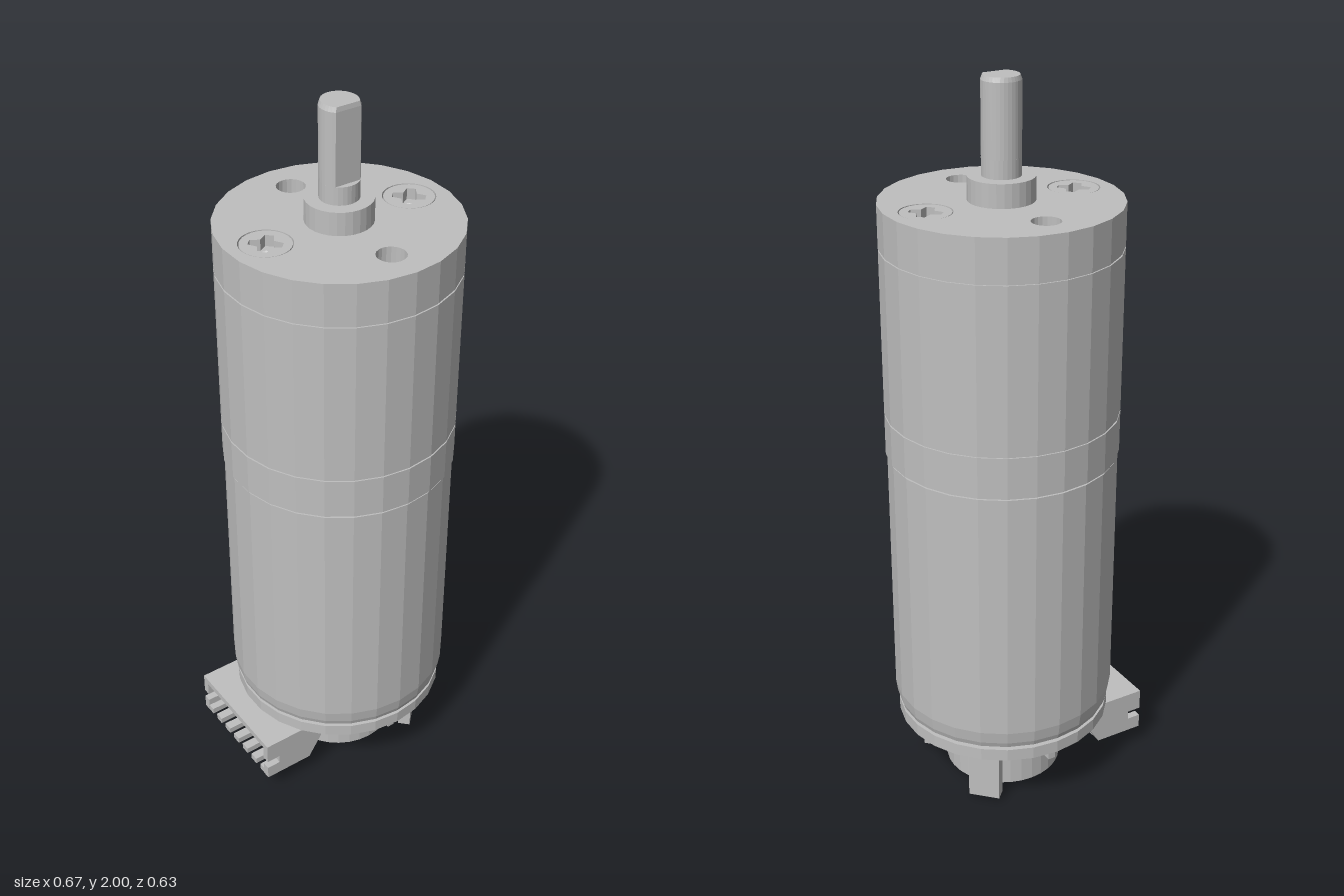
import * as THREE from 'three';

const SIDES = 26;
const CX = 0.025; // motor axis

export function createModel() {
  const model = new THREE.Group();
  model.name = 'gearMotor';
  const metal = new THREE.MeshStandardMaterial({ color: 0xbfbfbf });
  metal.name = 'greyMetal';

  // Flat-shaded mesh
  function add(name, geometry, x = CX, y = 0, z = 0, parent = model) {
    const g = geometry.index ? geometry.toNonIndexed() : geometry;
    g.computeVertexNormals();
    const mesh = new THREE.Mesh(g, metal);
    mesh.name = name;
    mesh.position.set(x, y, z);
    parent.add(mesh);
    return mesh;
  }
  const lathe = (pts, n = SIDES) =>
    new THREE.LatheGeometry(pts.map(([r, y]) => new THREE.Vector2(r, y)), n);
  const rod = (r, y0, y1, n = 24) => lathe([[0, y0], [r, y0], [r, y1], [0, y1]], n);
  const box = (w, h, d) => new THREE.BoxGeometry(w, h, d);

  // Points of a circle in the ground plane, starting on the z axis
  const ring = (r, n, x = 0, y = 0) => Array.from({ length: n }, (_, i) => {
    const a = Math.PI / 2 + (i / n) * Math.PI * 2;
    return new THREE.Vector2(x + r * Math.cos(a), y + r * Math.sin(a));
  });
  // Upright prism from an outline with holes
  function prism(outline, holes, depth) {
    const shape = new THREE.Shape(outline);
    shape.holes = holes.map((h) => new THREE.Path(h));
    return new THREE.ExtrudeGeometry(shape, { depth, bevelEnabled: false }).rotateX(-Math.PI / 2);
  }

  // Motor can with rounded lower rim
  add('motorCan', lathe([[0, 0.24], [0.299, 0.24], [0.304, 0.255], [0.309, 0.29],
    [0.309, 1.003], [0, 1.003]]));
  add('canSeam', rod(0.303, 1.0, 1.015, SIDES));
  // Gearbox housing with a fine groove between ring and sleeve
  add('gearboxHousing', lathe([[0, 1.01], [0.313, 1.01], [0.313, 1.122], [0.309, 1.122],
    [0.309, 1.127], [0.313, 1.127], [0.313, 1.572], [0.309, 1.572], [0.309, 1.577], [0, 1.577]]));

  // Face plate with two mounting holes and two screw seats
  const screwX = 0.213;
  add('facePlate', prism(ring(0.313, SIDES), [
    ring(0.038, 20, 0, 0.213), ring(0.038, 20, 0, -0.213),
    ring(0.068, 28, screwX, 0), ring(0.068, 28, -screwX, 0),
  ], 0.113), CX, 1.577);

  // Cross-head screws
  const cross = [];
  const w = 0.011, len = 0.042;
  for (let i = 0; i < 4; i++) {
    const a = Math.PI / 4 + (i * Math.PI) / 2;
    for (const [u, v] of [[len, -w], [len, w], [0.017, 0.017]]) {
      cross.push(new THREE.Vector2(u * Math.cos(a) - v * Math.sin(a), u * Math.sin(a) + v * Math.cos(a)));
    }
  }
  for (const side of [-1, 1]) {
    const screw = new THREE.Group();
    screw.name = side > 0 ? 'leftScrew' : 'rightScrew';
    screw.position.set(CX + side * screwX, 0, 0);
    add('screwHead', prism(ring(0.065, 28), [cross], 0.03), 0, 1.659, 0, screw);
    add('screwBody', lathe([[0.065, 1.58], [0.065, 1.659], [0.02, 1.659], [0, 1.645]], 28), 0, 0, 0, screw);
    model.add(screw);
  }

  // Output boss and D-shaped shaft
  add('outputBoss', rod(0.087, 1.68, 1.752, 28));
  add('shaftBase', rod(0.051, 1.74, 1.8, 28));
  const half = Math.asin(0.036 / 0.051);
  const dShape = Array.from({ length: 25 }, (_, i) => {
    const a = -half + (i / 24) * (Math.PI + 2 * half);
    return new THREE.Vector2(0.051 * Math.cos(a), 0.051 * Math.sin(a));
  });
  add('shaft', prism(dShape, [], 0.188), CX, 1.8);
  const tip = prism(dShape, [], 0.012);
  const p = tip.attributes.position;
  for (let i = 0; i < p.count; i++) {
    if (p.getY(i) > 0.006) p.setXYZ(i, p.getX(i) * 0.9, p.getY(i), Math.min(p.getZ(i), 0.036) * 0.95);
  }
  add('shaftTip', tip, CX, 1.988);

  // Encoder board below the can
  add('rearStep', rod(0.225, 0.228, 0.242, SIDES));
  add('encoderBoard', prism(ring(0.3, SIDES), [ring(0.1, 24)], 0.035), CX, 0.195);
  add('rearBoss', rod(0.09, 0.2, 0.235));
  add('rearCollar', rod(0.04, 0.15, 0.21));
  add('rearShaft', rod(0.022, 0.005, 0.2, 16));
  add('magnetDisc', prism(ring(0.165, 32), [ring(0.03, 16)], 0.11), CX, 0.015);
  add('magnetCore', rod(0.03, 0.02, 0.12, 16));

  for (const s of [-1, 1]) {
    // Sensors standing around the magnet, angled at 45 degrees
    const sensor = add('sensor', box(0.035, 0.18, 0.088), 0.172, 0.105, s * 0.156);
    sensor.rotation.y = -s * Math.PI / 4;

    // Motor terminal loops
    const loop = new THREE.Group();
    loop.name = 'terminalLoop';
    loop.position.set(CX, 0, s * 0.248);
    for (const e of [-1, 1]) add('loopLeg', box(0.02, 0.045, 0.01), 0, 0.1775, e * 0.018, loop);
    add('loopBase', box(0.02, 0.01, 0.046), 0, 0.158, 0, loop);
    model.add(loop);
  }

  // Side-entry connector, open towards -x
  const connector = new THREE.Group();
  connector.name = 'connector';
  connector.position.z = -0.003;
  model.add(connector);
  const wall = new THREE.Shape([[-0.338, 0.195], [-0.338, 0.135], [-0.298, 0.135], [-0.298, 0.11],
    [-0.338, 0.11], [-0.338, 0.07], [-0.195, 0.07], [-0.15, 0.14], [-0.15, 0.195],
  ].map(([x, y]) => new THREE.Vector2(x, y)));
  for (const s of [-1, 1]) {
    const g = new THREE.ExtrudeGeometry(wall, { depth: 0.022, bevelEnabled: false });
    add('connectorEnd', g, 0, 0, s * 0.163 - 0.011, connector);
  }
  add('connectorTop', box(0.188, 0.018, 0.34), -0.244, 0.186, 0, connector);
  add('connectorBack', box(0.025, 0.115, 0.34), -0.208, 0.1325, 0, connector);
  add('connectorFloor', box(0.08, 0.018, 0.34), -0.235, 0.079, 0, connector);
  for (let i = 0; i < 7; i++) {
    add('floorFinger', box(0.065, 0.018, 0.026), -0.305, 0.079, (i - 3) * 0.048, connector);
  }
  // Contacts inside the shell and legs up to the board
  for (let i = 0; i < 6; i++) {
    const z = (i - 2.5) * 0.042;
    add('contactPin', box(0.09, 0.016, 0.016), -0.26, 0.13, z, connector);
    const leg = add('contactLeg', box(0.016, 0.11, 0.018), -0.172, 0.148, z, connector);
    leg.rotation.z = -0.5;
  }
  return model;
}
